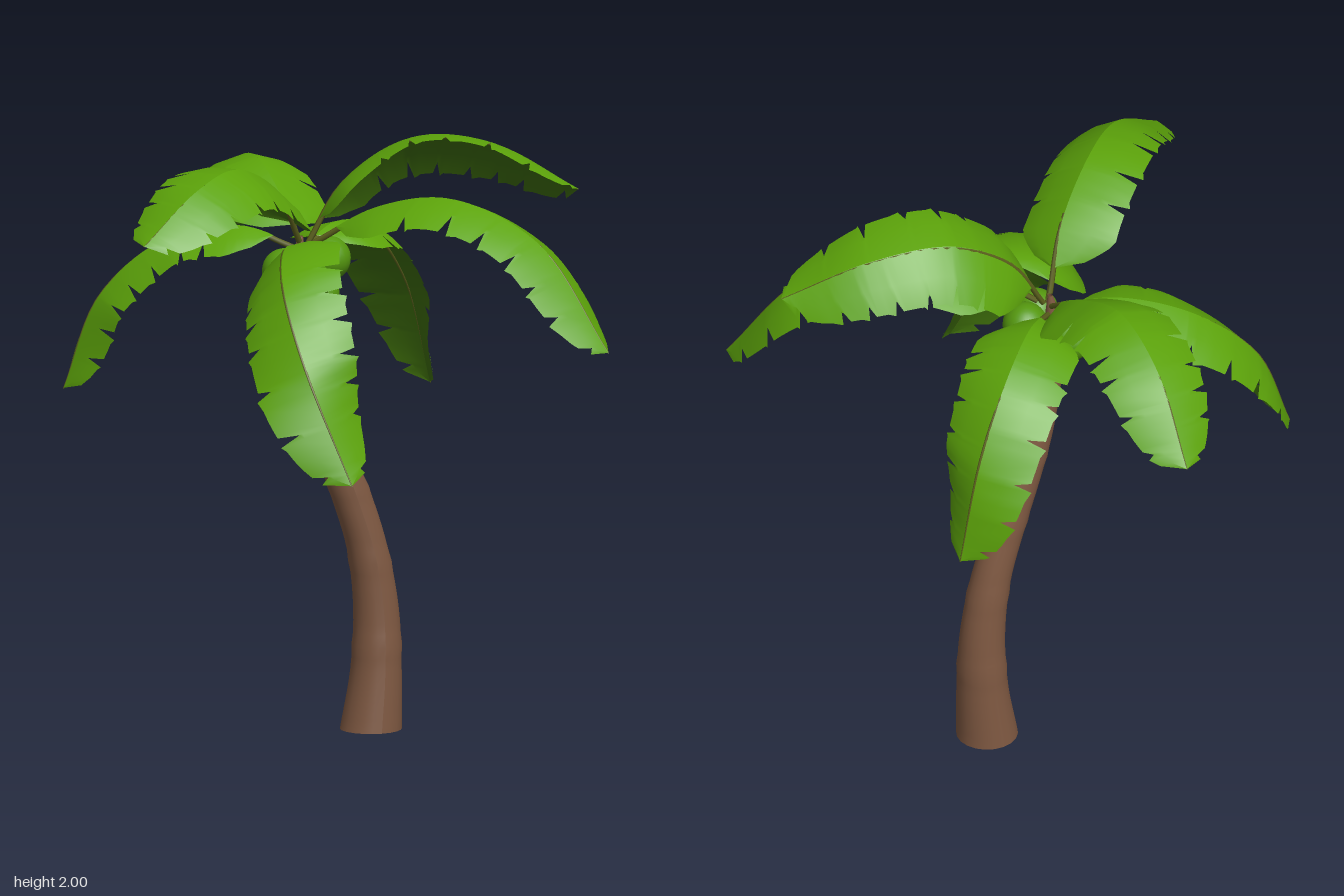
import * as THREE from 'three';

const V = (p) => new THREE.Vector3(...p);

// Small seeded random generator
function seeded(seed) {
  let s = seed;
  return () => ((s = (s * 16807) % 2147483647) / 2147483647);
}

const flat = (name, color, side = THREE.FrontSide) => {
  const m = new THREE.MeshStandardMaterial({ color, side });
  m.name = name;
  return m;
};

// Half width of a frond blade, s from 0 (base) to 1 (tip)
const halfWidth = (s) => 0.176 * Math.pow(Math.max(0, 1 - s ** 6), 0.5) * Math.sqrt(Math.min(1, s / 0.12));

// One half of a frond blade with torn notches along its outer edge;
// under = true gives the matching lower face
function bladeHalf(curve, sign, roll, seed, under) {
  const rand = seeded(seed);
  const rows = [];
  const notches = [];
  for (let s = 0.2 + rand() * 0.08; s < 0.97; s += 0.09 + rand() * 0.07) {
    const depth = 0.58 + rand() * 0.24;
    notches.push(s);
    rows.push([s, 1], [s + 0.016, depth], [s + 0.03, 1.05]);
  }
  for (let i = 0; i <= 30; i++) {
    const s = i / 30;
    if (!notches.some((n) => s > n - 0.006 && s < n + 0.036)) rows.push([s, 1]);
  }
  rows.sort((a, b) => a[0] - b[0]);

  const pos = [], index = [];
  const up = new THREE.Vector3(0, 1, 0);
  rows.forEach(([s, cut], i) => {
    const u = Math.min(1, 0.07 + 0.93 * s);
    const p = curve.getPointAt(u), t = curve.getTangentAt(u);
    const side = t.clone().cross(up).normalize().applyAxisAngle(t, -roll);
    const normal = side.clone().cross(t);
    const w = halfWidth(Math.min(1, s));
    [0, 0.55, cut].forEach((f) => {
      const q = p.clone()
        .addScaledVector(side, sign * w * f)
        .addScaledVector(normal, -w * (0.12 * f + 0.3 * f * f) - (under ? 0.003 : 0));
      pos.push(q.x, q.y, q.z);
    });
    if (i === 0) return;
    for (let j = 0; j < 2; j++) {
      const a = (i - 1) * 3 + j, b = a + 1, c = a + 3, d = a + 4;
      if ((sign > 0) !== under) index.push(a, b, c, b, d, c);
      else index.push(a, c, b, b, c, d);
    }
  });
  const g = new THREE.BufferGeometry();
  g.setAttribute('position', new THREE.Float32BufferAttribute(pos, 3));
  g.setIndex(index);
  g.computeVertexNormals();
  return g;
}

// Leaning trunk: a tapered open column whose rings follow a bent centre line
function trunkGeometry() {
  // height, centre x, radius in x, radius in z
  const stations = [
    [0, 0.18, 0.102, 0.102], [0.2, 0.198, 0.084, 0.087], [0.4, 0.198, 0.075, 0.074],
    [0.6, 0.168, 0.068, 0.065], [0.78, 0.112, 0.068, 0.058], [0.95, 0.045, 0.062, 0.05],
    [1.1, -0.01, 0.054, 0.043], [1.25, -0.052, 0.042, 0.037], [1.4, -0.078, 0.033, 0.033],
    [1.55, -0.078, 0.029, 0.029], [1.66, -0.066, 0.008, 0.008],
  ];
  const centre = new THREE.CatmullRomCurve3(stations.map((s) => V([s[1], s[0], 0])));
  const radius = new THREE.CatmullRomCurve3(stations.map((s) => V([s[2], s[3], 0])));
  const rows = 50;
  const g = new THREE.CylinderGeometry(1, 1, 1, 20, rows, true);
  const p = g.attributes.position;
  for (let i = 0; i < p.count; i++) {
    const v = p.getY(i) + 0.5;
    const c = centre.getPoint(v), r = radius.getPoint(v);
    // slight lip at every growth ring
    const row = Math.round(v * rows);
    const lip = row > 0 && row % 7 === 0 ? 1.04 : 1;
    p.setXYZ(i, c.x + p.getX(i) * r.x * lip, Math.max(0, c.y), 0.057 + p.getZ(i) * r.y * lip);
  }
  g.computeVertexNormals();
  return g;
}

export function createModel() {
  const group = new THREE.Group();
  group.name = 'palmTree';
  const bark = flat('bark brown', 0x7e5841, THREE.DoubleSide);
  const leaf = flat('leaf green', 0x5ca30a);
  const leafUnder = flat('leaf underside green', 0x3e6e0b);
  const rib = flat('rib olive', 0x5a5f1c);
  const husk = flat('coconut green', 0x55980f);

  const add = (parent, name, geometry, material) => {
    const mesh = new THREE.Mesh(geometry, material);
    mesh.name = name;
    parent.add(mesh);
    return mesh;
  };

  add(group, 'trunk', trunkGeometry(), bark);

  // Fronds: midrib paths from crown to tip, with a roll about the midrib
  const fronds = [
    ['backFrond', 0, [[-0.06, 1.64, 0.04], [-0.06, 1.76, -0.14], [-0.06, 1.85, -0.38], [-0.04, 1.77, -0.64], [-0.01, 1.53, -0.86]]],
    ['backLeftFrond', 0, [[-0.04, 1.62, 0.03], [0.1, 1.67, -0.08], [0.28, 1.62, -0.22], [0.44, 1.42, -0.31], [0.54, 1.06, -0.34]]],
    ['highLeftFrond', 0.5, [[-0.04, 1.65, 0.06], [0.08, 1.84, 0.07], [0.3, 1.97, 0.1], [0.56, 1.95, 0.19], [0.8, 1.81, 0.34]]],
    ['frontLeftFrond', 0, [[-0.03, 1.65, 0.08], [0.15, 1.77, 0.2], [0.35, 1.81, 0.36], [0.58, 1.68, 0.55], [0.75, 1.34, 0.75]]],
    ['frontRightFrond', -0.55, [[-0.07, 1.62, 0.08], [-0.18, 1.66, 0.22], [-0.28, 1.58, 0.46], [-0.29, 1.35, 0.69], [-0.19, 0.98, 0.86]]],
    ['highRightFrond', 0.25, [[-0.08, 1.66, 0.08], [-0.18, 1.83, 0.17], [-0.38, 1.95, 0.31], [-0.58, 1.92, 0.46], [-0.81, 1.77, 0.57]]],
    ['backRightFrond', 0, [[-0.08, 1.63, 0.03], [-0.22, 1.68, -0.09], [-0.42, 1.63, -0.23], [-0.63, 1.44, -0.31], [-0.75, 1.13, -0.33]]],
  ];
  fronds.forEach(([name, roll, points], i) => {
    const curve = new THREE.CatmullRomCurve3(points.map(V));
    const frond = new THREE.Group();
    frond.name = name;
    // positive roll lifts the +side edge
    [[1, 'bladeRight'], [-1, 'bladeLeft']].forEach(([sign, half]) => {
      const seed = 51234 + i * 79190 + sign * 12345;
      add(frond, half, bladeHalf(curve, sign, roll, seed, false), leaf);
      add(frond, half + 'Underside', bladeHalf(curve, sign, roll, seed, true), leafUnder);
    });
    // midrib and stalk under the blade, thinning towards the tip
    const tube = new THREE.TubeGeometry(curve, 24, 0.01, 6);
    const p = tube.attributes.position;
    for (let k = 0; k < p.count; k++) {
      const u = Math.floor(k / 7) / 24;
      const c = curve.getPointAt(u), s = 1 - 0.8 * u;
      const q = new THREE.Vector3().fromBufferAttribute(p, k).sub(c).multiplyScalar(s).add(c);
      p.setXYZ(k, q.x, q.y - 0.012 * s, q.z);
    }
    add(frond, 'midrib', tube, rib);
    group.add(frond);
  });

  // Coconuts hanging under the crown
  [[-0.08, 1.53, 0.165], [0.03, 1.58, 0.06], [0.012, 1.45, 0.005], [-0.09, 1.53, -0.03]].forEach((c) => {
    add(group, 'coconut', new THREE.SphereGeometry(0.074, 24, 16), husk).position.set(...c);
  });

  return group;
}
